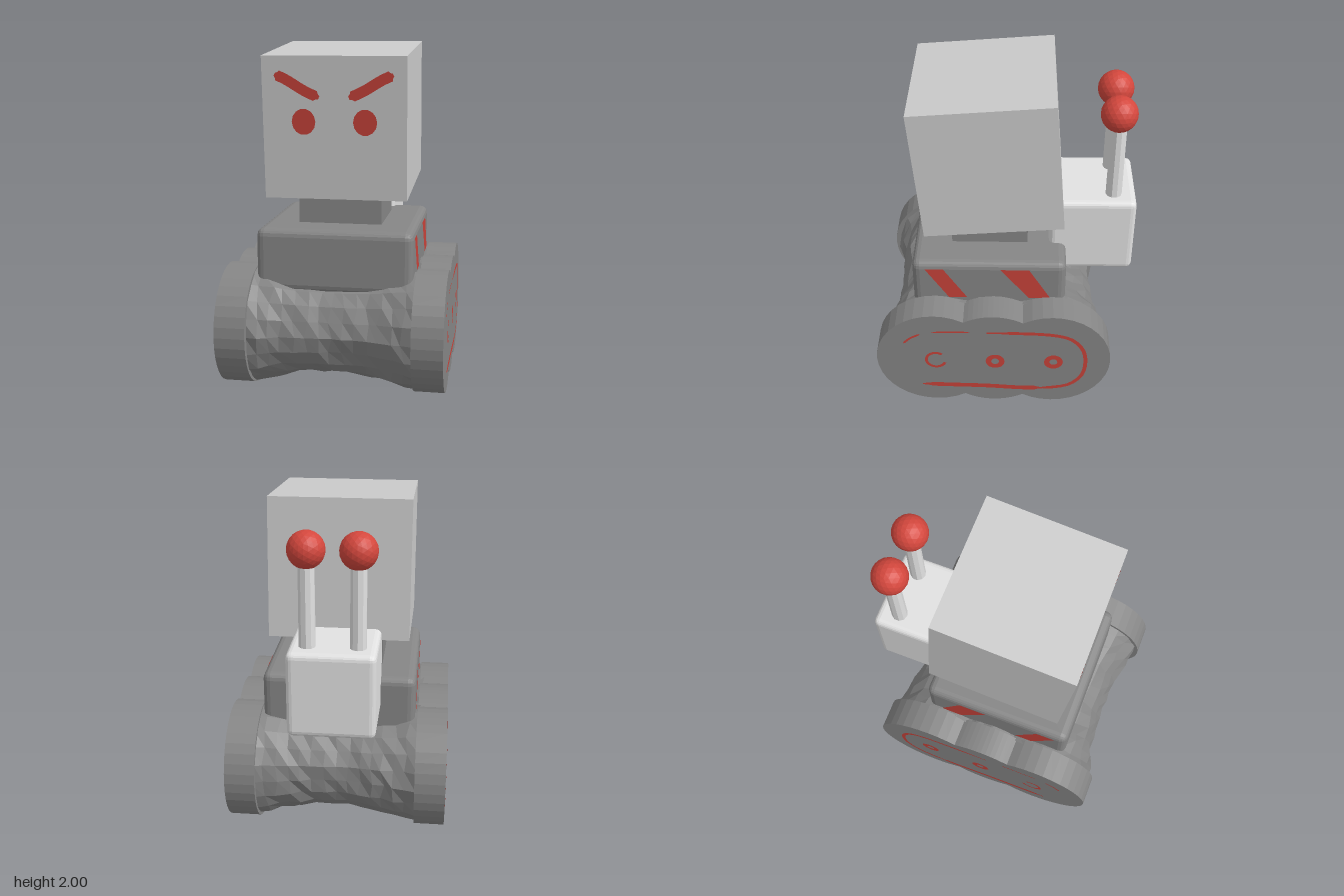
import * as THREE from 'three';
import { RoundedBoxGeometry } from 'three/addons/geometries/RoundedBoxGeometry.js';

const mat = (name, color, opts = {}) => {
  const m = new THREE.MeshStandardMaterial({ color, flatShading: true, ...opts });
  m.name = name;
  return m;
};

export function createModel() {
  const darkGray = mat('darkGray', 0x868686);
  const lightGray = mat('lightGray', 0xcbcbcb);
  const paleGray = mat('paleGray', 0xe2e2e2);
  const red = mat('red', 0xd4473d);
  const paint = mat('redPaint', 0xc8433a, { side: THREE.DoubleSide });

  const model = new THREE.Group();
  model.name = 'robot';
  const add = (name, geo, material, x = 0, y = 0, z = 0, parent = model) => {
    const m = new THREE.Mesh(geo, material);
    m.name = name;
    m.position.set(x, y, z);
    parent.add(m);
    return m;
  };

  // Outline of three overlapping wheels, as a radius around the middle wheel
  const R = 0.355, CY = 0.355, CZ = 0.06;
  const outline = (t) => Math.max(...[-R, 0, R].map((d) => {
    const q = R * R - (d * Math.sin(t)) ** 2;
    return q < 0 ? 0 : d * Math.cos(t) + Math.sqrt(q);
  }));

  // Flat paint strip along points [u, v], tapered at both ends
  const strip = (pts, width, sign = 1) => {
    const curve = new THREE.CatmullRomCurve3(pts.map(([u, v]) => new THREE.Vector3(u * sign, v, 0)), false, 'centripetal');
    const n = 24, up = [], down = [];
    for (let i = 0; i <= n; i++) {
      const p = curve.getPoint(i / n), t = curve.getTangent(i / n);
      const w = (width / 2) * Math.max(0.35, Math.min(1, Math.min(i, n - i) / 2));
      up.push(new THREE.Vector2(p.x - t.y * w, p.y + t.x * w));
      down.unshift(new THREE.Vector2(p.x + t.y * w, p.y - t.x * w));
    }
    return new THREE.ShapeGeometry(new THREE.Shape([...up, ...down]));
  };

  // Belly: waisted, roughly faceted loft between the tracks
  let seed = 7;
  const rnd = () => ((seed = (seed * 16807) % 2147483647) / 2147483647) - 0.5;
  const rings = 14, sides = 40, pos = [], idx = [];
  for (let i = 0; i <= rings; i++) {
    const x = -0.49 + (0.98 * i) / rings;
    const k = Math.min(1, (x / 0.47) ** 2);
    const sz = 0.86 + 0.11 * k, sy = 0.8 + 0.18 * k;
    for (let j = 0; j < sides; j++) {
      const t = (j / sides) * Math.PI * 2, r = outline(t) * (1 + rnd() * 0.045);
      pos.push(x + rnd() * 0.03, CY + Math.sin(t) * r * sy, CZ + Math.cos(t) * r * sz);
      if (i < rings) {
        const a = i * sides + j, c = i * sides + ((j + 1) % sides);
        idx.push(a, a + sides, c, c, a + sides, c + sides);
      }
    }
  }
  const belly = new THREE.BufferGeometry();
  belly.setAttribute('position', new THREE.Float32BufferAttribute(pos, 3));
  belly.setIndex(idx);
  belly.computeVertexNormals();
  add('belly', belly, darkGray);

  // Tracks, with painted wheels and tread line; stripes on the body sides
  const trackShape = new THREE.Shape();
  for (let i = 0; i < 72; i++) {
    const t = (i / 72) * Math.PI * 2, r = outline(t);
    trackShape[i ? 'lineTo' : 'moveTo'](-(CZ + Math.cos(t) * r), CY + Math.sin(t) * r);
  }
  const treadLines = [
    [[[-0.1, 0.582], [0.1, 0.582], [0.3, 0.57], [0.41, 0.535], [0.48, 0.45], [0.5, 0.34], [0.48, 0.23], [0.41, 0.15], [0.3, 0.118], [0.2, 0.112]], 0.024],
    [[[-0.5, 0.135], [-0.3, 0.13], [-0.1, 0.125], [0.1, 0.112], [0.24, 0.112]], 0.034],
    [[[-0.43, 0.583], [-0.3, 0.587], [-0.2, 0.587]], 0.01],
    [[[-0.6, 0.49], [-0.56, 0.53], [-0.5, 0.565]], 0.014],
  ];
  const stripes = [
    [[-0.47, 0.91], [-0.36, 0.91], [-0.22, 0.69], [-0.33, 0.69]],
    [[-0.02, 0.91], [0.15, 0.91], [0.28, 0.69], [0.15, 0.69]],
  ];
  for (const s of [1, -1]) {
    const side = s > 0 ? 'left' : 'right';
    const track = new THREE.ExtrudeGeometry(trackShape, { depth: 0.18, bevelEnabled: false });
    track.rotateY(Math.PI / 2);
    add(side + 'Track', track, darkGray, s > 0 ? 0.47 : -0.65);

    const art = new THREE.Group();
    art.name = side + 'Paint';
    art.rotation.y = (s * Math.PI) / 2;
    model.add(art);
    for (const [pts, w] of treadLines) add('treadLine', strip(pts, w, s), paint, 0, 0, 0.654, art);
    // The front wheel mark is a thinner, broken ring
    add('frontWheelMark', new THREE.RingGeometry(0.05, 0.068, 20, 1, s > 0 ? 0.9 : -2.8, 5), paint, -0.41 * s, 0.35, 0.654, art);
    for (const z of [-0.05, 0.305])
      add('wheelMark', new THREE.RingGeometry(0.024, 0.058, 14), paint, z * s, 0.343, 0.654, art);
    for (const pts of stripes) {
      const shape = new THREE.Shape(pts.map(([u, v]) => new THREE.Vector2(u * s, v)));
      add('bodyStripe', new THREE.ShapeGeometry(shape), paint, 0, 0, 0.459, art);
    }
  }

  // Body, neck and backpack
  add('body', new RoundedBoxGeometry(0.91, 0.37, 0.915, 2, 0.045), darkGray, 0, 0.765, 0.088);
  add('neck', new THREE.BoxGeometry(0.49, 0.3, 0.455), darkGray, 0, 1.05, 0.088);
  add('backpack', new RoundedBoxGeometry(0.5, 0.5, 0.51, 2, 0.035), paleGray, 0, 1.0, -0.523);

  // Antennas
  for (const s of [1, -1]) {
    add('antennaRod', new THREE.CylinderGeometry(0.046, 0.048, 0.52, 10), paleGray, 0.142 * s, 1.48, -0.645);
    add('antennaBall', new THREE.IcosahedronGeometry(0.106, 3), red, 0.142 * s, 1.8, -0.642);
  }

  // Head, tipped forward, with painted face
  const head = new THREE.Group();
  head.name = 'head';
  head.position.set(0, 1.56, 0.09);
  head.rotation.x = 0.08;
  model.add(head);
  add('headBox', new THREE.BoxGeometry(0.82, 0.817, 0.817), lightGray, 0, 0, 0, head);
  for (const s of [1, -1]) {
    const eye = add('eye', new THREE.CircleGeometry(0.068, 14), paint, 0.175 * s, 0.038, 0.413, head);
    eye.scale.y = 1.1;
    add('eyebrow', strip([[0.335, 0.305], [0.27, 0.275], [0.17, 0.215], [0.085, 0.175]], 0.06, s), paint, 0, 0, 0.413, head);
  }
  return model;
}
